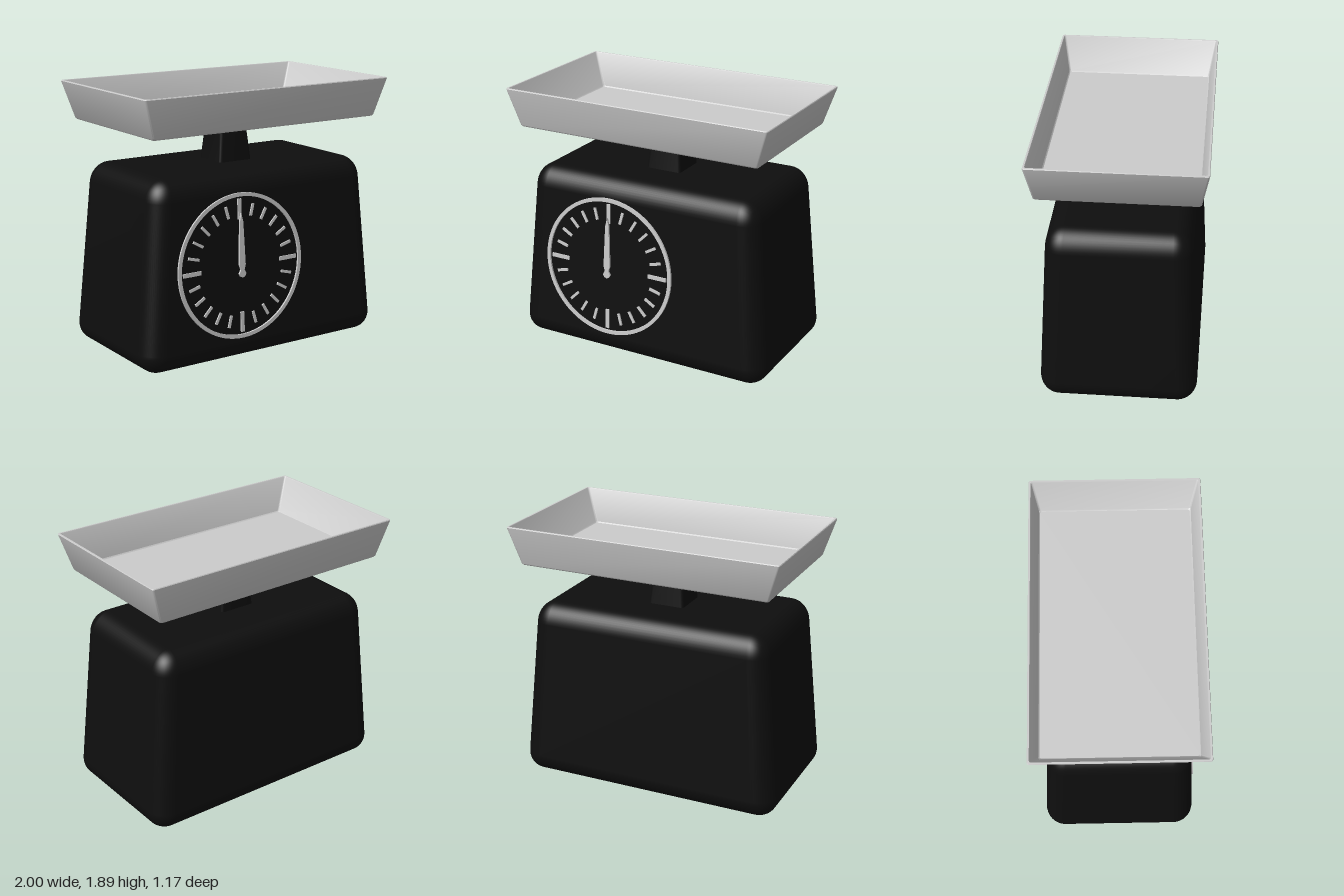
import * as THREE from 'three';
import { RoundedBoxGeometry } from 'three/addons/geometries/RoundedBoxGeometry.js';
import { mergeVertices, toCreasedNormals } from 'three/addons/utils/BufferGeometryUtils.js';

const grey = new THREE.MeshStandardMaterial({ color: 0xcccccc });
const black = new THREE.MeshStandardMaterial({ color: 0x0e0e0e });

function add(parent, name, geometry, material) {
  const mesh = new THREE.Mesh(geometry, material);
  mesh.name = name;
  parent.add(mesh);
  return mesh;
}

// Rounded box that narrows towards the top
function taperedBody() {
  const height = 1.315;
  let geo = new RoundedBoxGeometry(1.98, height, 1.114, 6, 0.145);
  geo.translate(0, height / 2, 0);
  const p = geo.attributes.position;
  for (let i = 0; i < p.count; i++) {
    const y = p.getY(i);
    p.setX(i, p.getX(i) * (1 - 0.089 * y));
    p.setZ(i, p.getZ(i) * (1 - 0.0934 * y));
  }
  geo.deleteAttribute('normal');
  geo.deleteAttribute('uv');
  geo = mergeVertices(geo, 1e-4);
  geo.computeVertexNormals();
  return geo;
}

// Loft through rounded rectangles given as [half width, half depth, y]
function rectLoft(sections, radius, steps = 3) {
  const positions = [], index = [];
  const n = 4 * (steps + 1);
  for (const [hx, hz, y] of sections) {
    const r = Math.min(radius, hx, hz);
    for (let c = 0; c < 4; c++) {
      const sx = c === 0 || c === 3 ? 1 : -1, sz = c < 2 ? 1 : -1;
      for (let s = 0; s <= steps; s++) {
        const a = (c + s / steps) * Math.PI / 2;
        positions.push(sx * (hx - r) + r * Math.cos(a), y, sz * (hz - r) + r * Math.sin(a));
      }
    }
  }
  for (let i = 0; i < sections.length - 1; i++) {
    for (let j = 0; j < n; j++) {
      const a = i * n + j, b = i * n + (j + 1) % n;
      index.push(a, a + n, b, b, a + n, b + n);
    }
  }
  const geo = new THREE.BufferGeometry();
  geo.setAttribute('position', new THREE.Float32BufferAttribute(positions, 3));
  geo.setIndex(index);
  return toCreasedNormals(geo, 0.6);
}

// Dial ring, marks and pointer, drawn flat around the origin
function dial() {
  const group = new THREE.Group();
  group.name = 'dial';

  const ring = new THREE.Shape().absarc(0, 0, 0.509, 0, Math.PI * 2);
  ring.holes.push(new THREE.Path().absarc(0, 0, 0.483, 0, Math.PI * 2, true));
  const ringGeo = new THREE.ExtrudeGeometry(ring, { depth: 0.024, bevelEnabled: false, curveSegments: 48 });
  add(group, 'dialRing', ringGeo, grey).position.z = -0.01;

  for (let i = 0; i < 24; i++) {
    const major = i % 6 === 0;
    const [inner, outer, width] = major ? [0.325, 0.468, 0.028] : [0.35, 0.437, 0.019];
    const geo = new THREE.BoxGeometry(width, outer - inner, 0.014);
    geo.translate(0, (inner + outer) / 2, 0.003);
    add(group, major ? 'majorMark' : 'minorMark', geo, grey).rotation.z = -i * Math.PI / 12;
  }

  // Pointer outline: one side, then its mirror image
  const side = [[0, 0.37], [0.014, 0.31], [0.025, 0.01], [0.014, -0.025], [0.029, -0.052], [0.018, -0.072], [0, -0.08]];
  const outline = [...side, ...side.slice(1, -1).reverse().map(([x, y]) => [-x, y])];
  const needle = new THREE.Shape(outline.map(([x, y]) => new THREE.Vector2(x, y)));
  const needleGeo = new THREE.ExtrudeGeometry(needle, { depth: 0.014, bevelEnabled: false });
  add(group, 'pointer', needleGeo, grey).position.z = 0.013;

  // Pivot joining the pointer to the body
  const pivot = add(group, 'pivot', new THREE.CylinderGeometry(0.014, 0.014, 0.03, 16), grey);
  pivot.rotation.x = Math.PI / 2;
  pivot.position.z = 0.005;
  return group;
}

export function createModel() {
  const model = new THREE.Group();
  model.name = 'kitchenScale';

  add(model, 'body', taperedBody(), black);

  // Neck carrying the tray
  add(model, 'neck', rectLoft([
    [0, 0, 1.29], [0.136, 0.136, 1.29], [0.104, 0.104, 1.615], [0, 0, 1.615],
  ], 0.02), black);

  // Flared tray: underside, outer wall, rim, inner wall, floor
  add(model, 'tray', rectLoft([
    [0, 0, 1.61], [0.911, 0.531, 1.61], [0.92, 0.54, 1.62],
    [1, 0.585, 1.88], [0.997, 0.582, 1.886], [0.986, 0.572, 1.886], [0.982, 0.568, 1.88],
    [0.898, 0.528, 1.64], [0.89, 0.52, 1.632], [0, 0, 1.632],
  ], 0.014), grey);

  // Dial leans back with the front face
  const face = dial();
  face.position.set(-0.227, 0.673, 0.522);
  face.rotation.x = -0.052;
  model.add(face);

  return model;
}
